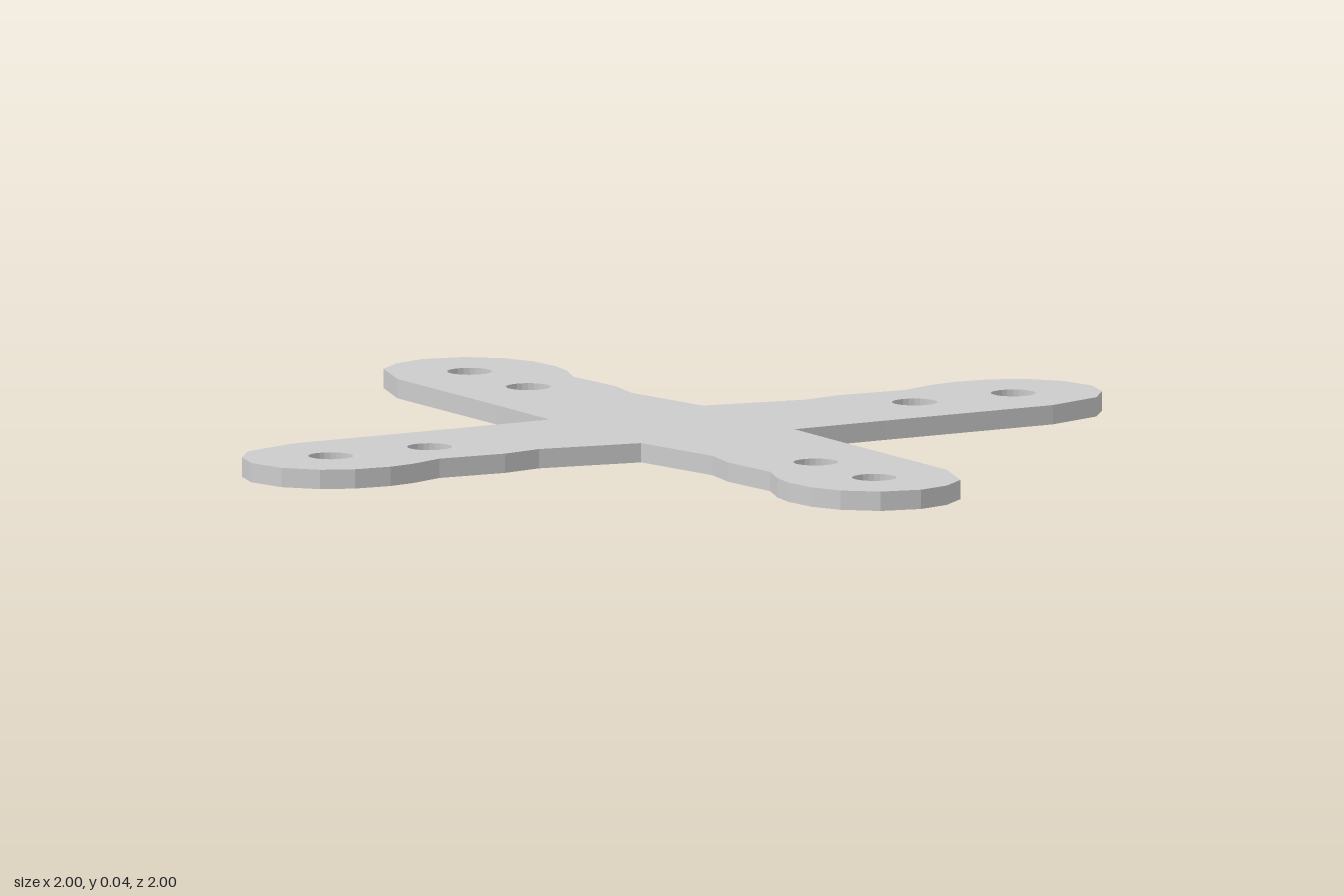
import * as THREE from 'three';

const THICKNESS = 0.04;
const HOLE_RADIUS = 0.046;
const HOLE_DISTANCES = [0.577, 0.812];

// One arm along +x, from its straight edge round the tip and back along its wavy edge
const ARM = [
  [0.183, -0.183], [0.4, -0.18], [0.8, -0.179], [0.93, -0.135], [0.98, -0.073],
  [1, 0], [0.98, 0.085], [0.925, 0.148], [0.86, 0.178], [0.78, 0.186],
  [0.72, 0.176], [0.64, 0.146], [0.56, 0.152], [0.49, 0.157], [0.4, 0.141], [0.18, 0.18],
];

function createPlateShape() {
  // Mirror the arm over the diagonal, then turn the pair half a circle
  const mirrored = ARM.map(([x, y]) => [y, x]).reverse().slice(1);
  const half = [...ARM, ...mirrored];
  const outline = [...half, ...half.map(([x, y]) => [-x, -y])];
  const shape = new THREE.Shape(outline.map(([x, y]) => new THREE.Vector2(x, y)));

  // Two screw holes in each arm
  for (let i = 0; i < 4; i++) {
    const angle = (i * Math.PI) / 2;
    for (const d of HOLE_DISTANCES) {
      const hole = new THREE.Path();
      hole.absarc(d * Math.cos(angle), d * Math.sin(angle), HOLE_RADIUS, 0, Math.PI * 2, true);
      shape.holes.push(hole);
    }
  }
  return shape;
}

export function createModel() {
  const group = new THREE.Group();
  group.name = 'crossBracket';

  // Flat plate lying on the ground
  const geometry = new THREE.ExtrudeGeometry(createPlateShape(), {
    depth: THICKNESS, bevelEnabled: false, curveSegments: 12,
  });
  geometry.rotateX(-Math.PI / 2);
  const plate = new THREE.Mesh(geometry, new THREE.MeshStandardMaterial({ color: 0xcccccc }));
  plate.name = 'crossPlate';
  group.add(plate);
  return group;
}
